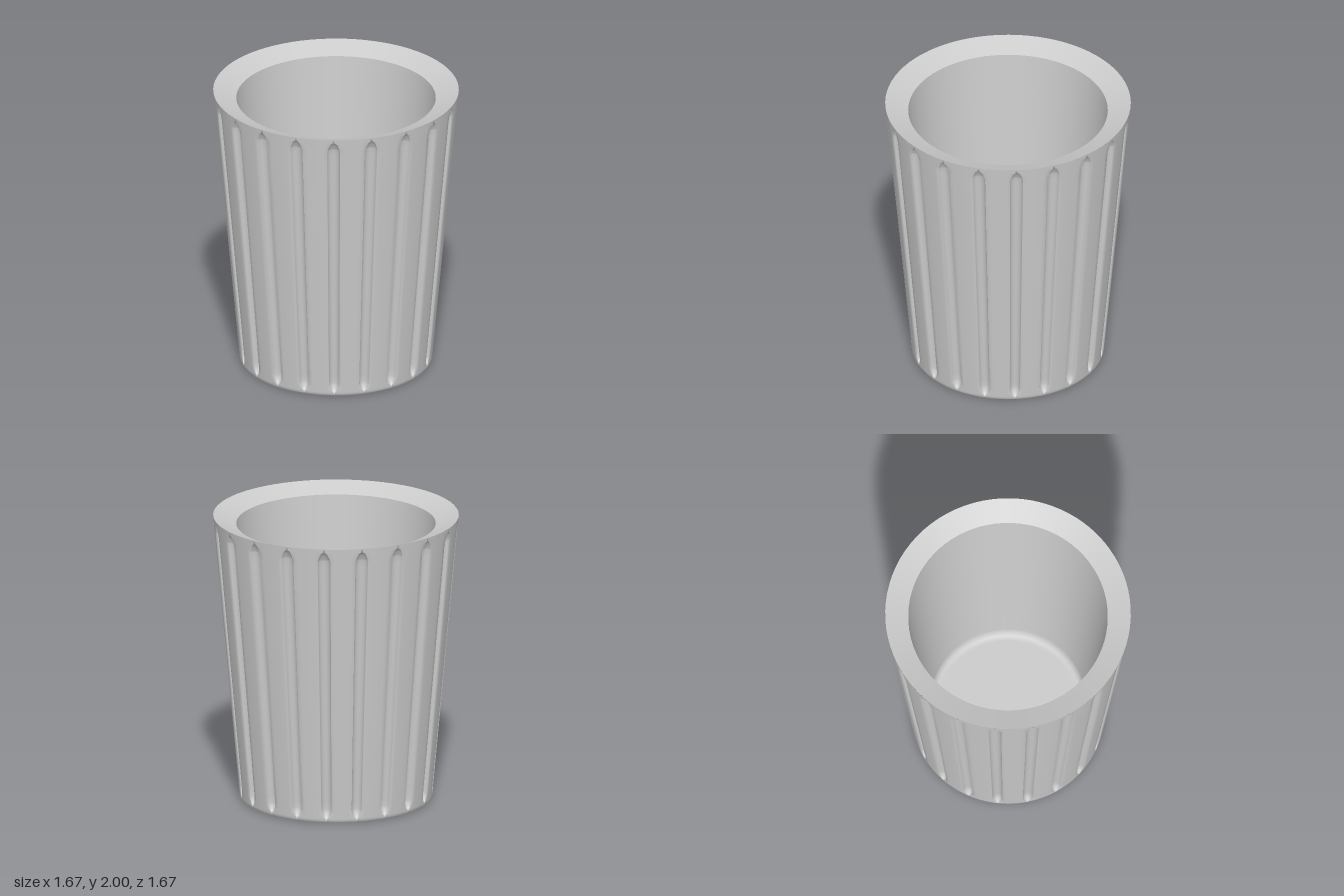
import * as THREE from 'three';
import { mergeVertices } from 'three/addons/utils/BufferGeometryUtils.js';

const FLUTES = 20;
const PITCH = (Math.PI * 2) / FLUTES;
const HALF_WIDTH = 0.054; // radians
const DEPTH = 0.04;
const R_BASE = 0.655, R_TOP = 0.837;

const material = new THREE.MeshStandardMaterial({ color: 0xcccccc });
const v2 = (x, y) => new THREE.Vector2(x, y);
const wallRadius = (y) => R_BASE + (R_TOP - R_BASE) * (y / 2);

// One repeat of the wall: rounded flute samples (u from -1 to 1), then plain land
const columns = [];
for (let i = 0; i <= 12; i++) columns.push({ u: -Math.cos((Math.PI * i) / 12), land: 0 });
for (let i = 1; i < 6; i++) columns.push({ u: 1, land: i / 6 });

// Flute fades to a tip at each end: 0 outside, 1 along the main length
function fade(y) {
  const t = Math.min((y - 0.03) / 0.06, (1.975 - y) / 0.07);
  return THREE.MathUtils.clamp(t, 0, 1);
}

// Tapered outer wall with scooped flutes
function flutedWall() {
  const heights = [0.015, 0.03, 0.04, 0.055, 0.07, 0.09, 0.14, 0.5, 1, 1.5, 1.86,
    1.905, 1.92, 1.94, 1.955, 1.967, 1.975, 2];
  const profile = [v2(0.648, 0.004), ...heights.map((y) => v2(wallRadius(y), y))];
  const geo = new THREE.LatheGeometry(profile, FLUTES * columns.length);
  const pos = geo.attributes.position;
  for (let k = 0; k < pos.count; k++) {
    const col = Math.floor(k / profile.length) % (FLUTES * columns.length);
    const { x: r, y } = profile[k % profile.length];
    const { u, land } = columns[col % columns.length];
    const f = fade(y);
    const half = HALF_WIDTH * (0.15 + 0.85 * Math.sqrt(f));
    const centre = PITCH * (Math.floor(col / columns.length) + 0.25);
    const angle = centre + u * half + land * (PITCH - 2 * half);
    const radius = r - DEPTH * Math.sqrt(f) * Math.sqrt(Math.max(0, 1 - u * u));
    pos.setXYZ(k, radius * Math.sin(angle), y, radius * Math.cos(angle));
  }
  // Weld the seam so the shading runs smoothly all round
  geo.deleteAttribute('uv');
  geo.deleteAttribute('normal');
  const welded = mergeVertices(geo, 1e-5);
  welded.computeVertexNormals();
  return welded;
}

export function createModel() {
  const group = new THREE.Group();
  group.name = 'flutedCup';
  const add = (name, geometry) => {
    const mesh = new THREE.Mesh(geometry, material);
    mesh.name = name;
    group.add(mesh);
  };
  const lathe = (points) => new THREE.LatheGeometry(points, 80);

  add('flutedWall', flutedWall());
  // Flat underside with a small rounded edge
  add('base', lathe([v2(0, 0), v2(0.62, 0), v2(0.635, 0.0005), v2(0.648, 0.004)]));
  // Rim slopes down towards the opening
  add('rim', lathe([v2(R_TOP, 2), v2(0.68, 1.94)]));
  // Hollow interior with a softened floor corner
  add('interior', lathe([v2(0.68, 1.94), v2(0.535, 0.23), v2(0.525, 0.19), v2(0.505, 0.173),
    v2(0.47, 0.17), v2(0, 0.17)]));
  return group;
}
